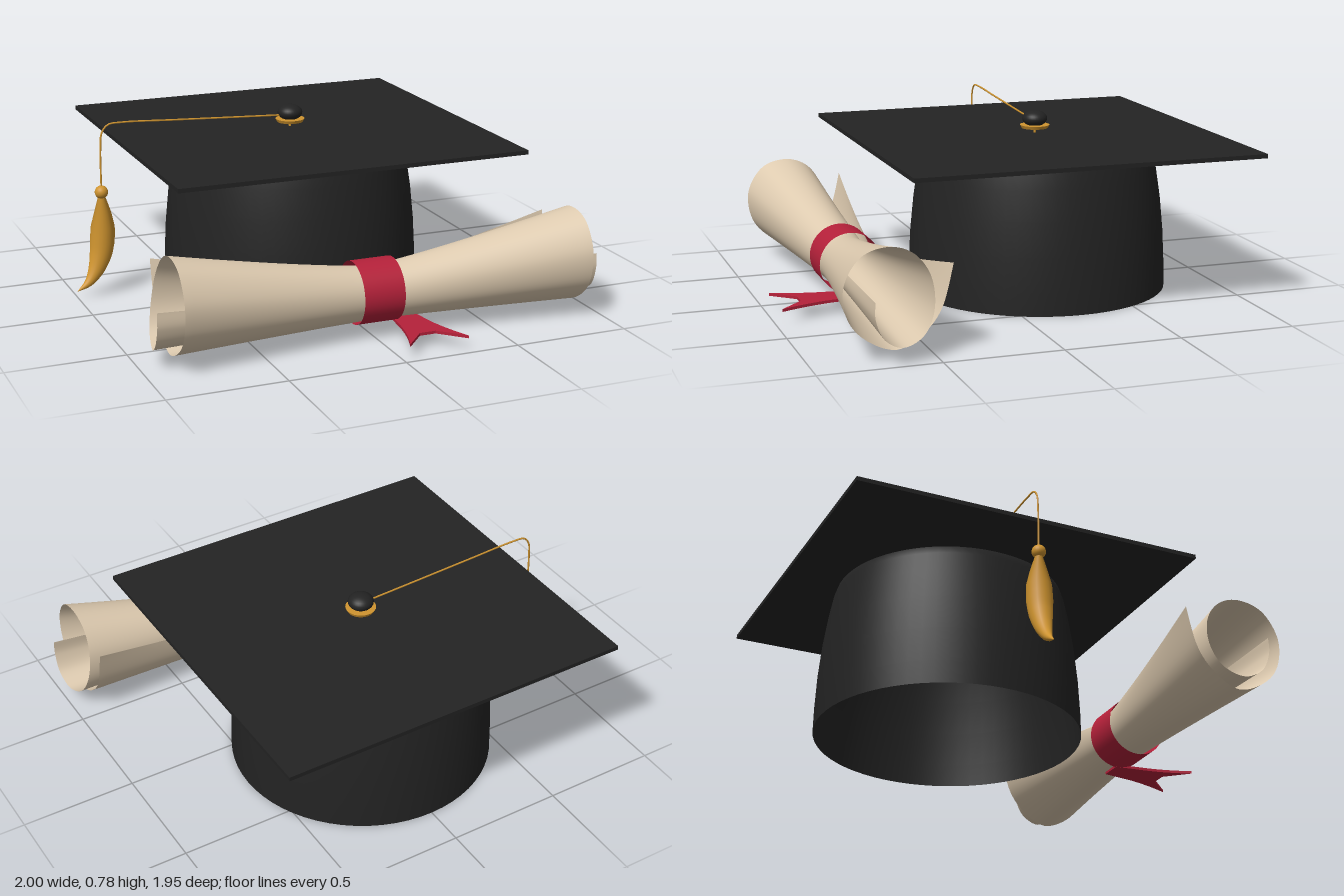
import * as THREE from 'three';

const material = (name, color, side = THREE.FrontSide) => {
  const m = new THREE.MeshStandardMaterial({ color, side });
  m.name = name;
  return m;
};

// Tube along a path whose radius follows a list of values
function taperedTube(points, radii, segments = 32, sides = 20) {
  const path = new THREE.CatmullRomCurve3(points.map(p => new THREE.Vector3(...p)));
  const geo = new THREE.TubeGeometry(path, segments, 1, sides);
  const pos = geo.attributes.position;
  const v = new THREE.Vector3();
  for (let i = 0; i < pos.count; i++) {
    const t = Math.floor(i / (sides + 1)) / segments;
    const f = t * (radii.length - 1);
    const k = Math.min(Math.floor(f), radii.length - 2);
    const r = THREE.MathUtils.lerp(radii[k], radii[k + 1], f - k);
    const c = path.getPointAt(t);
    v.fromBufferAttribute(pos, i).sub(c).multiplyScalar(r).add(c);
    pos.setXYZ(i, v.x, v.y, v.z);
  }
  return geo;
}

// Rolled sheet: loose spiral at both ends, tight spiral at the waist
function scrollGeometry() {
  const ends = new THREE.SplineCurve([
    [0.43, 0.37], [0.475, 0.2], [0.55, 0.1], [0.66, 0.043], [0.78, 0.09], [0.855, 0.18],
    [0.868, 0.31], [0.8, 0.42], [0.69, 0.453], [0.59, 0.42], [0.525, 0.33], [0.515, 0.21],
    [0.56, 0.11], [0.65, 0.07], [0.73, 0.11], [0.765, 0.19], [0.765, 0.26],
  ].map(p => new THREE.Vector2(...p)));
  const geo = new THREE.PlaneGeometry(1, 1, 48, 128);
  const { position: pos, uv } = geo.attributes;
  for (let i = 0; i < pos.count; i++) {
    const u = uv.getX(i) * 2 - 1;
    const t = uv.getY(i);
    const spread = Math.pow(Math.abs(u), 1.2);
    const angle = Math.PI * (0.9 + 3.2 * t);
    const radius = THREE.MathUtils.lerp(0.126, 0.085, t);
    const end = ends.getPoint(t);
    const halfLength = 0.895 + 0.08 * THREE.MathUtils.smoothstep(t, 0.55, 0.9);
    pos.setXYZ(i, 0.022 + u * halfLength,
      THREE.MathUtils.lerp(0.18 + radius * Math.sin(angle), end.y, spread),
      THREE.MathUtils.lerp(0.632 + radius * Math.cos(angle), end.x, spread));
  }
  geo.computeVertexNormals();
  return geo;
}

export function createModel() {
  const model = new THREE.Group();
  model.name = 'graduationCapAndScroll';
  const black = material('blackCloth', 0x232323, THREE.DoubleSide);
  const gold = material('goldThread', 0xcf942f);
  const paper = material('parchment', 0xdecbb0, THREE.DoubleSide);
  const red = material('redRibbon', 0xb5213a, THREE.DoubleSide);

  const add = (name, geo, mat, x = 0, y = 0, z = 0) => {
    const mesh = new THREE.Mesh(geo, mat);
    mesh.name = name;
    mesh.position.set(x, y, z);
    model.add(mesh);
    return mesh;
  };

  // Cap: open crown under a flat square board
  const crown = [[0.57, 0], [0.568, 0.1], [0.56, 0.25], [0.545, 0.4], [0.525, 0.53],
    [0.507, 0.62], [0.495, 0.655], [0.48, 0.664]].map(p => new THREE.Vector2(...p));
  add('crown', new THREE.LatheGeometry(crown, 64), black, 0, 0, -0.25);
  add('board', new THREE.BoxGeometry(1.56, 0.018, 1.525), black, -0.005, 0.67, -0.218);

  // Button on a gold washer
  const bz = -0.24;
  add('buttonStem', new THREE.CylinderGeometry(0.006, 0.006, 0.04, 8), gold, 0, 0.69, bz);
  add('buttonWasher', new THREE.CylinderGeometry(0.065, 0.058, 0.014, 32), gold, 0, 0.707, bz);
  add('button', new THREE.SphereGeometry(0.055, 32, 16), black, 0, 0.742, bz).scale.y = 0.64;

  // Cord over the board edge, and the tassel
  const cord = new THREE.CatmullRomCurve3([
    [0, 0.73], [-0.25, 0.742], [-0.55, 0.757], [-0.78, 0.768], [-0.84, 0.763],
    [-0.868, 0.73], [-0.876, 0.66], [-0.878, 0.48],
  ].map(([x, y]) => new THREE.Vector3(x, y, bz)));
  add('cord', new THREE.TubeGeometry(cord, 64, 0.004, 6), gold);
  add('tasselBead', new THREE.SphereGeometry(0.029, 24, 16), gold, -0.878, 0.467, bz);
  add('tassel', taperedTube(
    [[-0.878, 0.445, bz], [-0.876, 0.36, bz], [-0.88, 0.27, bz], [-0.89, 0.19, bz],
      [-0.915, 0.115, bz], [-0.95, 0.062, bz], [-1, 0.028, bz]],
    [0.016, 0.036, 0.052, 0.054, 0.048, 0.036, 0.02, 0.001]), gold);

  // Scroll tied with a ribbon
  add('scroll', scrollGeometry(), paper);
  const band = new THREE.CylinderGeometry(0.133, 0.133, 0.18, 48, 1, true);
  add('ribbonBand', band, red, 0.015, 0.183, 0.632).rotation.z = Math.PI / 2;

  // Swallow-tailed ribbon end lying flat in front
  const tail = new THREE.Shape();
  tail.moveTo(0.1, 0.62);
  tail.lineTo(0.2, 0.62);
  tail.lineTo(0.22, 0.76);
  tail.quadraticCurveTo(0.245, 0.87, 0.29, 0.97);
  tail.lineTo(0.19, 0.87);
  tail.lineTo(0.12, 0.87);
  tail.lineTo(0.03, 0.97);
  tail.quadraticCurveTo(0.07, 0.87, 0.085, 0.76);
  const tailGeo = new THREE.ExtrudeGeometry(tail, { depth: 0.012, bevelEnabled: false });
  add('ribbonTail', tailGeo, red, 0, 0.062, 0).rotation.x = Math.PI / 2;

  return model;
}
